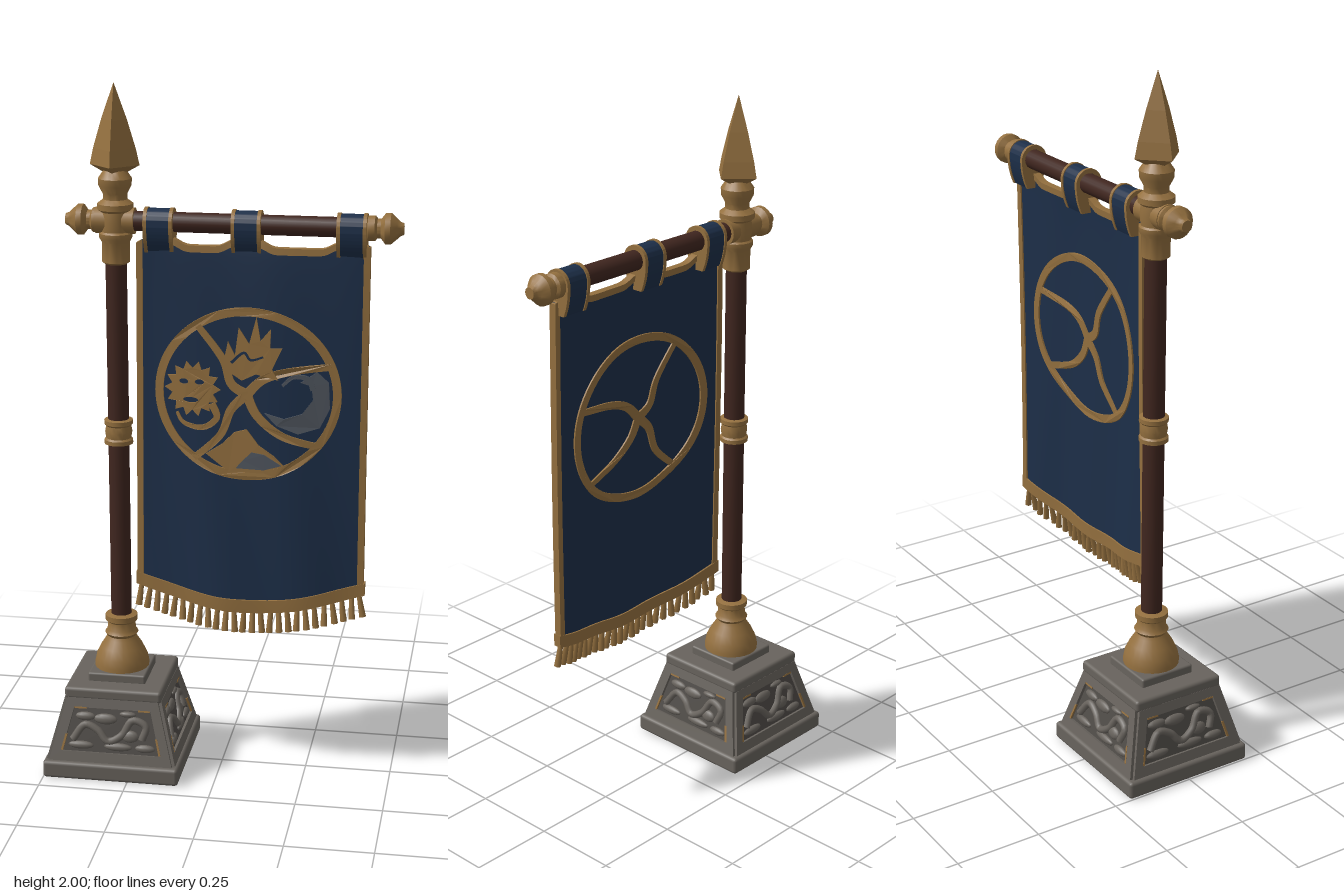
import * as THREE from 'three';
import { toCreasedNormals } from 'three/addons/utils/BufferGeometryUtils.js';
import { RoundedBoxGeometry } from 'three/addons/geometries/RoundedBoxGeometry.js';

const mat = (name, color, side = THREE.FrontSide) => {
  const m = new THREE.MeshStandardMaterial({ color, side });
  m.name = name;
  return m;
};
const gold = mat('aged gold', 0x94703f);
const navy = mat('navy cloth', 0x1d2f49);
const wood = mat('dark wood', 0x40261f);
const stone = mat('grey stone', 0x68635d);
const shade = mat('dark stone', 0x4f4b47);
const slate = mat('slate thread', 0x50565f);

const POLE_X = -0.3, BAR_Y = 1.62, TABS = [-0.175, 0.07, 0.36];
const lerp = THREE.MathUtils.lerp;
const V2 = (x, y) => new THREE.Vector2(x, y);

function add(parent, name, geometry, material, x = 0, y = 0, z = 0) {
  const m = new THREE.Mesh(geometry, material);
  m.name = name;
  m.position.set(x, y, z);
  parent.add(m);
  return m;
}
const lathe = (pts, n = 24) =>
  toCreasedNormals(new THREE.LatheGeometry(pts.map(p => V2(p[0], p[1])), n), 0.6);
const polygon = pts => new THREE.Shape(pts.map(p => V2(p[0], p[1])));
const extrude = (shape, depth) =>
  new THREE.ExtrudeGeometry(shape, { depth, bevelEnabled: false, curveSegments: 40 });

// Hanging cloth: depth bulges toward the lower middle, with soft folds
function clothZ(x, y) {
  const u = THREE.MathUtils.clamp((x + 0.24) / 0.65, 0, 1);
  const t = THREE.MathUtils.clamp((1.58 - y) / 1.05, 0, 1);
  return 0.009 + 0.044 * Math.pow(t, 0.6) * Math.sin(Math.PI * u) + 0.008 * t
    + 0.004 * Math.sin(u * 17 + y * 3) * Math.sqrt(t);
}
function clothPoint(u, v) {
  const x0 = lerp(-0.235, -0.24, v), x = lerp(x0, 0.408, u);
  let top = 1.556;
  for (const t of TABS) top += 0.022 * Math.exp(-Math.pow((x - t) / 0.06, 4));
  const y = lerp(top, 0.56 - 0.055 * Math.sin(Math.PI * u), v);
  return new THREE.Vector3(x, y, clothZ(x, y));
}
function clothSlab(u0, u1, v0, v1, half, nu, nv) {
  const g = new THREE.BoxGeometry(1, 1, 1, nu, nv, 1), p = g.attributes.position;
  for (let i = 0; i < p.count; i++) {
    const q = clothPoint(lerp(u0, u1, p.getX(i) + 0.5), lerp(v1, v0, p.getY(i) + 0.5));
    p.setXYZ(i, q.x, q.y, q.z + Math.sign(p.getZ(i)) * half);
  }
  g.computeVertexNormals();
  return g;
}
// Flat emblem piece draped onto the cloth, front or back
function drape(shape, back = false, lift = 0) {
  const g = extrude(shape, 0.007), p = g.attributes.position;
  for (let i = 0; i < p.count; i++) {
    const x = p.getX(i) + 0.077, y = p.getY(i) + 1.147;
    p.setXYZ(i, x, y, clothZ(x, y) + p.getZ(i) + (back ? -0.012 : 0.005 + lift));
  }
  g.computeVertexNormals();
  return g;
}
// Tapering ribbon outline along a curve
function ribbon(pts, w0, w1, n = 20) {
  const c = new THREE.SplineCurve(pts.map(p => V2(p[0], p[1]))), a = [], b = [];
  for (let i = 0; i <= n; i++) {
    const p = c.getPoint(i / n), t = c.getTangent(i / n), w = lerp(w0, w1, i / n) / 2;
    a.push(V2(p.x - t.y * w, p.y + t.x * w));
    b.unshift(V2(p.x + t.y * w, p.y - t.x * w));
  }
  return new THREE.Shape([...a, ...b]);
}
function oval(rx, ry, path = new THREE.Shape(), x = 0, y = 0) {
  path.absellipse(x, y, rx, ry, 0, Math.PI * 2);
  return path;
}

function buildBase(root) {
  const base = new THREE.Group();
  base.name = 'base';
  base.position.x = POLE_X;
  root.add(base);
  add(base, 'footSlab', new RoundedBoxGeometry(0.4, 0.052, 0.4, 2, 0.01), stone, 0, 0.026);
  const body = new THREE.CylinderGeometry(0.133 * Math.SQRT2, 0.183 * Math.SQRT2, 0.19, 4, 1).toNonIndexed();
  body.rotateY(Math.PI / 4);
  body.computeVertexNormals();
  add(base, 'taperedBody', body, shade, 0, 0.143);
  add(base, 'capSlab', new RoundedBoxGeometry(0.286, 0.036, 0.286, 2, 0.01), stone, 0, 0.248);
  add(base, 'plinth', new RoundedBoxGeometry(0.17, 0.03, 0.17, 2, 0.006), stone, 0, 0.276);

  // Carved panel repeated on the four sloping faces
  const frame = polygon([[-0.182, -0.094], [0.182, -0.094], [0.134, 0.094], [-0.134, 0.094]]);
  frame.holes.push(new THREE.Path([V2(-0.145, -0.064), V2(-0.113, 0.066), V2(0.113, 0.066), V2(0.145, -0.064)]));
  const frameGeo = extrude(frame, 0.009);
  const scroll = new THREE.TubeGeometry(new THREE.CatmullRomCurve3(
    [[-0.115, -0.03], [-0.08, 0.015], [-0.04, 0.0], [-0.01, -0.03], [0.03, -0.01], [0.06, 0.035], [0.1, 0.02], [0.09, -0.02]]
      .map(p => new THREE.Vector3(p[0], p[1], 0.001))), 40, 0.011, 8);
  const lump = new THREE.SphereGeometry(1, 12, 8);
  const lumps = [[-0.08, 0.04, 0.03, 0.013], [-0.09, -0.045, 0.038, 0.012], [-0.02, 0.035, 0.035, 0.016],
    [0.02, -0.045, 0.042, 0.012], [0.055, -0.012, 0.025, 0.018], [0.1, -0.045, 0.03, 0.012], [0.045, 0.052, 0.025, 0.009]];
  for (let i = 0; i < 4; i++) {
    const turn = new THREE.Group(), face = new THREE.Group();
    turn.name = 'baseSide';
    face.name = 'carvedPanel';
    turn.rotation.y = i * Math.PI / 2;
    face.position.set(0, 0.143, 0.158);
    face.rotation.x = -0.257;
    turn.add(face);
    base.add(turn);
    add(face, 'panelFrame', frameGeo, stone);
    add(face, 'carvedScroll', scroll, stone);
    for (const [x, y, a, b] of lumps) add(face, 'carvedLump', lump, stone, x, y, 0).scale.set(a, b, 0.01);
    for (const s of [-1, 1]) {
      const low = add(face, 'gildedCorner', new THREE.BoxGeometry(0.006, 0.05, 0.005), gold, s * 0.139, -0.038, 0.007);
      low.rotation.z = s * 0.24;
      add(face, 'gildedEdge', new THREE.BoxGeometry(0.035, 0.005, 0.005), gold, s * 0.094, 0.065, 0.007);
    }
  }
}

function buildPole(root) {
  add(root, 'pole', new THREE.CylinderGeometry(0.03, 0.03, 1.2, 20), wood, POLE_X, 1.0);
  add(root, 'poleSocket', lathe([[0.08, 0.285], [0.08, 0.302], [0.075, 0.325], [0.062, 0.352], [0.047, 0.375], [0.042, 0.385],
    [0.049, 0.395], [0.042, 0.405], [0.04, 0.428], [0.047, 0.434], [0.047, 0.45], [0.03, 0.454]]), gold, POLE_X);
  add(root, 'poleRing', lathe([[0.03, 0.972], [0.041, 0.975], [0.041, 0.987], [0.036, 0.992], [0.039, 1.01], [0.036, 1.028],
    [0.041, 1.033], [0.041, 1.045], [0.03, 1.048]]), gold, POLE_X);
  add(root, 'poleCollar', lathe([[0.03, 1.498], [0.039, 1.504], [0.039, 1.56], [0.046, 1.572], [0.046, 1.585], [0.041, 1.59],
    [0.044, 1.62], [0.041, 1.645], [0.05, 1.652], [0.05, 1.668], [0.034, 1.68], [0.034, 1.695], [0.046, 1.718],
    [0.047, 1.738], [0.034, 1.757], [0.02, 1.775]]), gold, POLE_X);
  const spear = new THREE.LatheGeometry([[0.025, 1.75], [0.07, 1.775], [0.06, 1.82], [0.036, 1.9], [0.0001, 2]]
    .map(p => V2(p[0], p[1])), 4).toNonIndexed();
  spear.computeVertexNormals();
  add(root, 'spearhead', spear, gold, POLE_X);

  // Crossbar with a turned knob at each end
  const bar = add(root, 'crossbar', new THREE.CylinderGeometry(0.028, 0.028, 0.78, 20), wood, 0.03, BAR_Y);
  bar.rotation.z = Math.PI / 2;
  const knob = lathe([[0.026, 0], [0.035, 0.003], [0.035, 0.022], [0.027, 0.028], [0.027, 0.038], [0.043, 0.05],
    [0.043, 0.065], [0.028, 0.082], [0.02, 0.09], [0.016, 0.1], [0, 0.1]], 20);
  add(root, 'rightKnob', knob, gold, -0.34, BAR_Y).rotation.z = Math.PI / 2;
  add(root, 'leftKnob', knob, gold, 0.4, BAR_Y).rotation.z = -Math.PI / 2;
  add(root, 'barCollar', new THREE.CylinderGeometry(0.037, 0.037, 0.11, 20), gold, POLE_X, BAR_Y).rotation.z = Math.PI / 2;
}

// Cloth loop over the bar, closing onto the top of the banner
function tabShape(r) {
  const s = new THREE.Shape();
  s.moveTo(r, 0);
  s.absarc(0, 0, r, 0, Math.PI);
  s.quadraticCurveTo(-r, -0.045, -r + 0.026, -0.085);
  s.lineTo(r - 0.052, -0.085 - 0.0001);
  s.lineTo(r - 0.018, -0.085);
  s.quadraticCurveTo(r, -0.045, r, 0);
  return s;
}
function buildTabs(root) {
  for (const x of TABS) {
    const place = (name, r, w, dx, m) => {
      const s = tabShape(r);
      s.holes.push(oval(0.0275, 0.0275, new THREE.Path()));
      const g = toCreasedNormals(extrude(s, w), 0.6);
      g.translate(0, 0, -w / 2);
      add(root, name, g, m, x + dx, BAR_Y, 0.002).rotation.y = Math.PI / 2;
    };
    place('hangingTab', 0.038, 0.07, 0, navy);
    for (const d of [-1, 1]) place('tabEdging', 0.0405, 0.01, d * 0.036, gold);
  }
}

function buildBanner(root) {
  const banner = new THREE.Group();
  banner.name = 'banner';
  root.add(banner);
  add(banner, 'cloth', clothSlab(0, 1, 0, 1, 0.007, 56, 48), navy);
  add(banner, 'rightTrim', clothSlab(-0.006, 0.022, 0, 1, 0.011, 2, 40), gold);
  add(banner, 'leftTrim', clothSlab(0.978, 1.006, 0, 1, 0.011, 2, 40), gold);
  add(banner, 'bottomTrim', clothSlab(-0.012, 1.012, 0.966, 1.002, 0.012, 48, 2), gold);
  for (const [a, b] of [[0.155, 0.41], [0.535, 0.86]])
    add(banner, 'topTrim', clothSlab(a, b, -0.004, 0.014, 0.011, 20, 1), gold);

  // Fringe tassels
  const tassel = new THREE.CylinderGeometry(0.007, 0.0105, 0.068, 6);
  const N = 26;
  for (let i = 0; i < N; i++) {
    const u = (i + 0.5) / N, p = clothPoint(u, 1);
    const t = add(banner, 'tassel', tassel, gold, p.x + (u - 0.5) * 0.02, p.y - 0.029, p.z + 0.003);
    t.rotation.set(-0.12 + 0.1 * Math.sin(i * 2.3), 0, (u - 0.5) * 0.25 + 0.07 * Math.sin(i * 4.1));
  }

  // Ring and swirling dividers, stitched on both faces
  const ring = oval(0.264, 0.247);
  ring.holes.push(oval(0.24, 0.223, new THREE.Path()));
  const arms = [
    [[0, 0], [0.045, 0.045], [0.12, 0.07], [0.235, 0.085]],
    [[0, 0], [-0.045, -0.045], [-0.075, -0.12], [-0.15, -0.19]],
    [[0, 0], [-0.045, 0.03], [-0.07, 0.1], [-0.14, 0.19]],
    [[0, 0], [0.03, -0.06], [0.1, -0.115], [0.2, -0.145]]];
  for (const back of [false, true]) {
    const side = back ? 'back' : 'front';
    add(banner, side + 'Ring', drape(ring, back), gold);
    for (const a of arms) add(banner, side + 'Divider', drape(ribbon(a, 0.028, 0.018), back), gold);
  }

  // Flame bird, maned head, wave and mountain in the four quarters
  const flame = polygon([[-0.07, 0.075], [-0.055, 0.15], [-0.035, 0.11], [-0.025, 0.19], [0.005, 0.145], [0.025, 0.222],
    [0.037, 0.155], [0.066, 0.19], [0.064, 0.135], [0.098, 0.135], [0.07, 0.075], [0.088, 0.045], [0.025, 0.06], [-0.015, 0.04]]);
  add(banner, 'flameBird', drape(flame), gold);
  add(banner, 'flameWing', drape(ribbon([[-0.045, 0.09], [-0.01, 0.12], [0.01, 0.1], [0.045, 0.11]], 0.008, 0.005), false, 0.002), navy);

  const mane = [];
  for (let i = 0; i < 28; i++) {
    const r = i % 2 ? 0.06 : 0.08, a = i / 28 * Math.PI * 2;
    mane.push([-0.155 + r * Math.cos(a), 0.01 + r * Math.sin(a)]);
  }
  const head = polygon(mane);
  for (const [x, y, rx, ry] of [[-0.18, 0.03, 0.013, 0.008], [-0.135, 0.03, 0.013, 0.008], [-0.16, -0.022, 0.022, 0.008]])
    head.holes.push(oval(rx, ry, new THREE.Path(), x, y));
  add(banner, 'manedHead', drape(head), gold);
  add(banner, 'maneCurl', drape(ribbon([[-0.1, -0.03], [-0.085, -0.07], [-0.125, -0.1], [-0.18, -0.09], [-0.2, -0.06]], 0.022, 0.008)), gold);

  const wave = polygon([[0.15, 0.04], [0.195, 0.07], [0.228, 0.04], [0.232, -0.035], [0.205, -0.09], [0.145, -0.108],
    [0.085, -0.085], [0.05, -0.05], [0.105, -0.065], [0.155, -0.05], [0.185, -0.01], [0.18, 0.03]]);
  add(banner, 'wave', drape(wave), slate);
  add(banner, 'waveCrest', drape(ribbon([[0.1, 0.03], [0.13, 0.055], [0.17, 0.05], [0.185, 0.02]], 0.008, 0.016), false, 0.001), slate);

  const mountain = polygon([[-0.115, -0.175], [-0.07, -0.145], [-0.035, -0.11], [0, -0.1], [0.035, -0.145], [0.08, -0.175],
    [0.11, -0.205], [0.05, -0.225], [-0.05, -0.225]]);
  add(banner, 'mountain', drape(mountain), gold);
  const slope = polygon([[0.015, -0.165], [0.05, -0.17], [0.1, -0.2], [0.05, -0.215], [-0.03, -0.213], [-0.01, -0.19]]);
  add(banner, 'mountainSlope', drape(slope, false, 0.002), slate);
}

export function createModel() {
  const root = new THREE.Group();
  root.name = 'bannerStand';
  buildBase(root);
  buildPole(root);
  buildTabs(root);
  buildBanner(root);
  return root;
}
